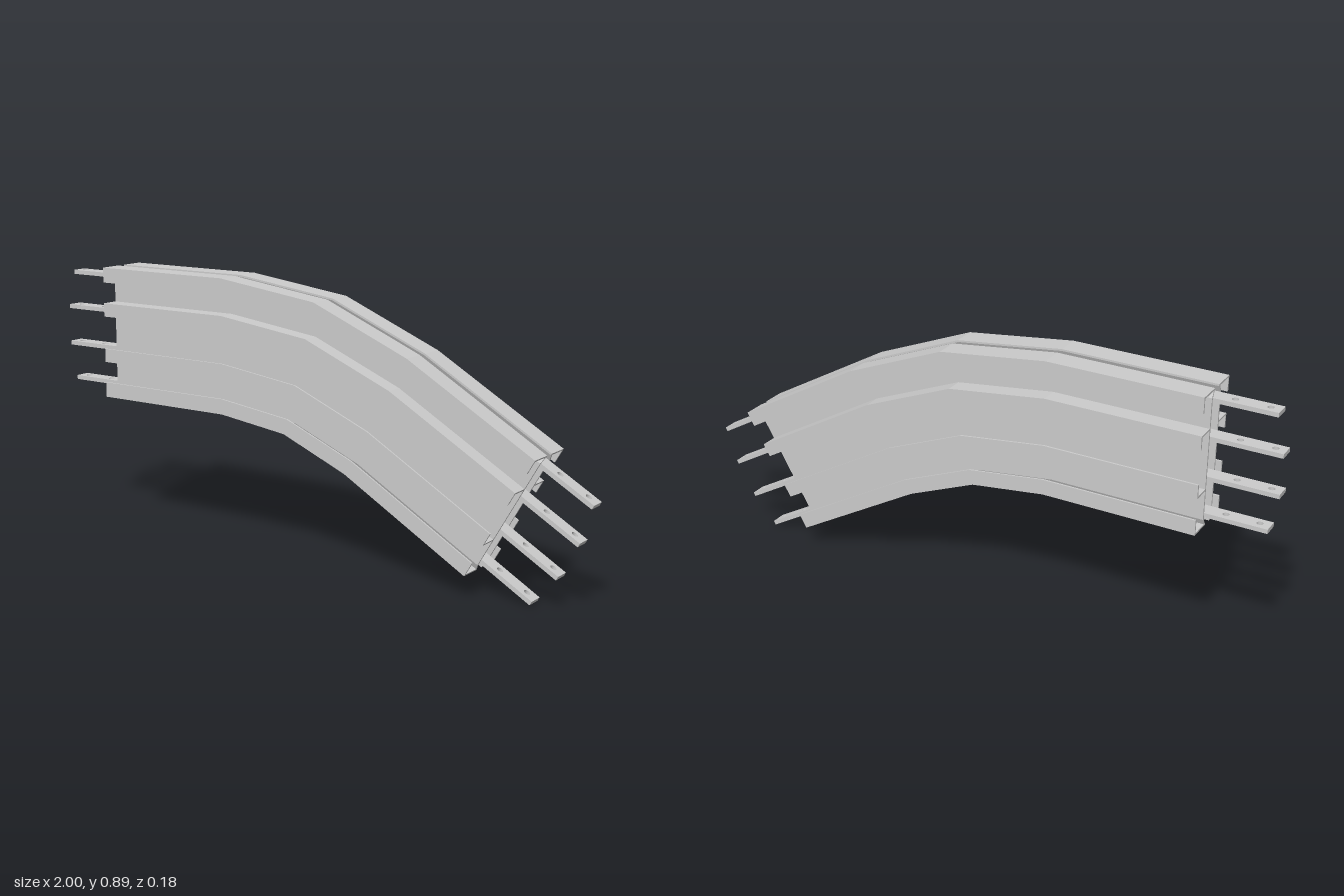
import * as THREE from 'three';

const CENTER = [-0.28, -0.5], R0 = 0.95;       // bend centre and inner radius
const END_LEFT = -0.5, END_RIGHT = 0.495;      // straight runs either side of the bend
const BEND = Math.PI / 6, T = 0.006;           // bend angle, sheet thickness
// stations along the duct: [bend angle, offset along the tangent]
const STATIONS = [[0, END_LEFT], [0, 0], [BEND / 2, 0], [BEND, 0], [BEND, END_RIGHT]];

const material = new THREE.MeshStandardMaterial({ color: 0xcccccc, flatShading: true });

function place([a, s], [h, z]) {
  const r = R0 + h;
  return [
    CENTER[0] + r * Math.sin(a) + s * Math.cos(a),
    CENTER[1] + r * Math.cos(a) - s * Math.sin(a),
    z,
  ];
}

// Sweep a four-cornered profile [height, depth] along the bent run
function sweep(name, profile) {
  const pos = [];
  const quad = (a, b, c, d) => pos.push(...a, ...b, ...c, ...a, ...c, ...d);
  const rings = STATIONS.map((st) => profile.map((p) => place(st, p)));
  for (let i = 0; i < rings.length - 1; i++) {
    for (let j = 0; j < 4; j++) {
      const k = (j + 1) % 4;
      quad(rings[i][j], rings[i][k], rings[i + 1][k], rings[i + 1][j]);
    }
  }
  const [p, q, r, s] = rings[0];
  quad(s, r, q, p);
  quad(...rings[rings.length - 1]);
  const geometry = new THREE.BufferGeometry();
  geometry.setAttribute('position', new THREE.Float32BufferAttribute(pos, 3));
  geometry.computeVertexNormals();
  const mesh = new THREE.Mesh(geometry, material);
  mesh.name = name;
  return mesh;
}

const rect = (h0, h1, z0, z1) => [[h0, z0], [h1, z0], [h1, z1], [h0, z1]];
const mirrored = (profile) => profile.map(([h, z]) => [h, -z]).reverse();

// Flat bar end with two bolt holes, running from x = 0 to x = length
function barEnd(length, width, thickness) {
  const w = width / 2;
  const shape = new THREE.Shape();
  shape.moveTo(0, -w).lineTo(length, -w).lineTo(length, w).lineTo(0, w).closePath();
  for (const inset of [0.033, 0.138]) {
    const hole = new THREE.Path();
    hole.absarc(length - inset, 0, 0.01, 0, Math.PI * 2, true);
    shape.holes.push(hole);
  }
  const geometry = new THREE.ExtrudeGeometry(shape, {
    depth: thickness, bevelEnabled: false, curveSegments: 16,
  });
  geometry.translate(0, 0, -thickness / 2);
  geometry.rotateX(-Math.PI / 2);
  return geometry;
}

export function createModel() {
  const model = new THREE.Group();
  model.name = 'bentBusDuct';

  // Sheet metal housing, one half profile mirrored to the back
  const profiles = {
    Web: rect(0.025, 0.415, 0.027, 0.027 + T),
    TopFlange: rect(0.44 - T, 0.44, 0.015, 0.09),
    TopLip: rect(0.39, 0.44, 0.09 - T, 0.09),
    TopSlant: [[0.412, 0.027], [0.44, 0.015], [0.44, 0.015 + T], [0.412, 0.027 + T]],
    UpperFlange: rect(0.32 - T, 0.32, 0.03, 0.09),
    UpperLip: rect(0.275, 0.32, 0.09 - T, 0.09),
    LowerFlange: rect(0.12, 0.12 + T, 0.03, 0.09),
    LowerLip: rect(0.12, 0.165, 0.09 - T, 0.09),
    BottomSlant: [[0, 0.015], [0.028, 0.027], [0.028, 0.027 + T], [0, 0.015 + T]],
    BottomFlange: rect(0, T, 0.015, 0.09),
    BottomLip: rect(0, 0.05, 0.09 - T, 0.09),
  };
  const housing = new THREE.Group();
  housing.name = 'housing';
  for (const [name, profile] of Object.entries(profiles)) {
    housing.add(sweep('front' + name, profile));
    housing.add(sweep('back' + name, mirrored(profile)));
  }
  model.add(housing);

  // Four conductor bars with drilled ends; the inner two reach further out
  const thickness = 0.014, width = 0.05;
  const bars = [[0.406, 0.195], [0.285, 0.22], [0.157, 0.22], [0.037, 0.195]];
  bars.forEach(([h, reach], i) => {
    const bar = new THREE.Group();
    bar.name = 'conductorBar' + (i + 1);
    bar.add(sweep('barBody', rect(h - thickness / 2, h + thickness / 2, -width / 2, width / 2)));
    const geometry = barEnd(reach, width, thickness);

    const right = new THREE.Mesh(geometry, material);
    right.name = 'drilledEndLeft';
    right.position.set(...place([BEND, END_RIGHT], [h, 0]));
    right.rotation.z = -BEND;

    const left = new THREE.Mesh(geometry, material);
    left.name = 'drilledEndRight';
    left.position.set(...place([0, END_LEFT], [h, 0]));
    left.rotation.y = Math.PI;

    bar.add(right, left);
    model.add(bar);
  });

  return model;
}
